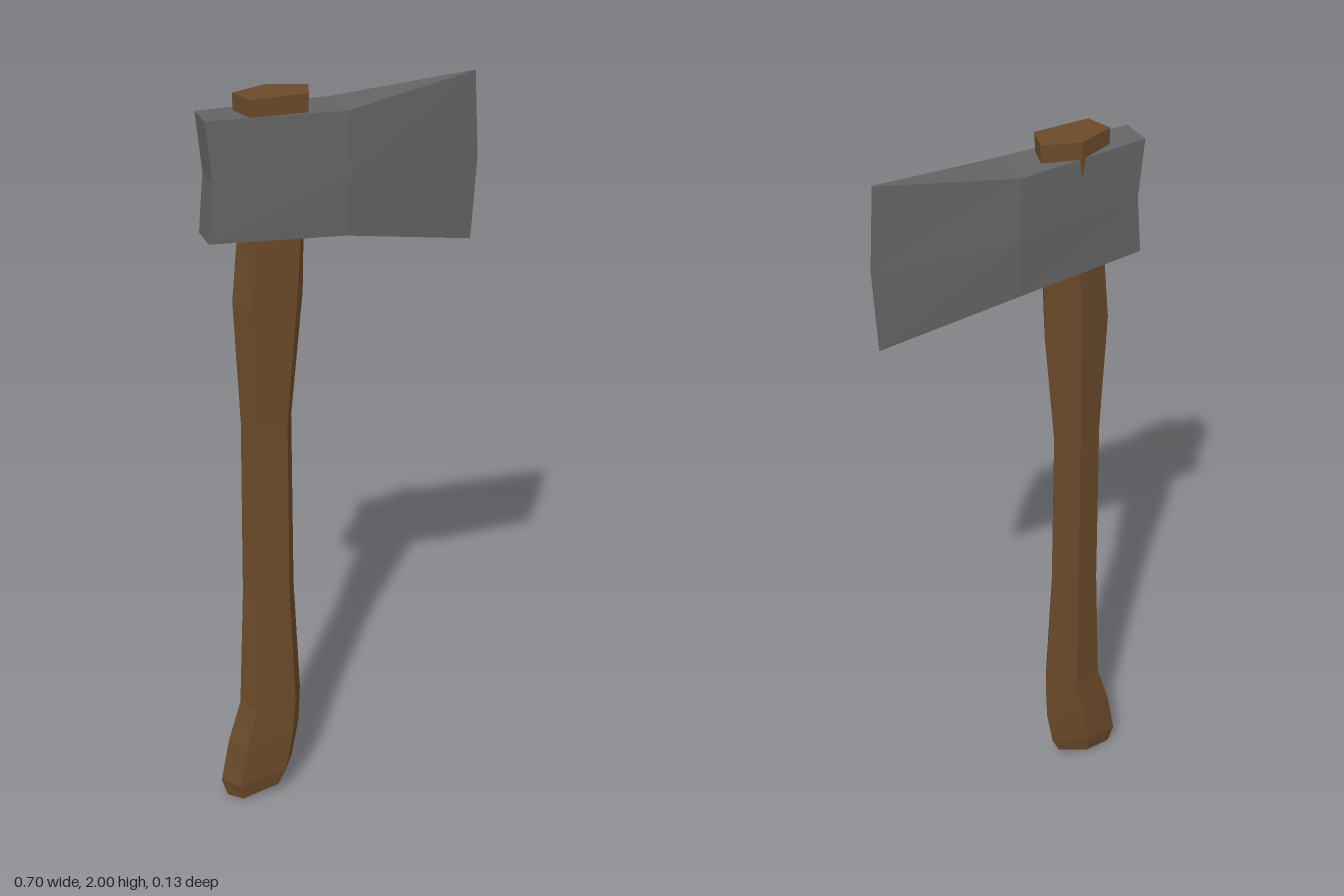
import * as THREE from 'three';

// Skins a list of equal-sized rings of [x, y, z] points and caps both ends.
function loft(rings) {
  const n = rings[0].length;
  const pos = [];
  const tri = (a, b, c) => pos.push(...a, ...b, ...c);
  for (let i = 0; i < rings.length - 1; i++) {
    const lo = rings[i], hi = rings[i + 1];
    for (let j = 0; j < n; j++) {
      const k = (j + 1) % n;
      tri(lo[j], hi[j], hi[k]);
      tri(lo[j], hi[k], lo[k]);
    }
  }
  const first = rings[0], last = rings[rings.length - 1];
  for (let k = 1; k < n - 1; k++) {
    tri(first[0], first[k], first[k + 1]);
    tri(last[0], last[k + 1], last[k]);
  }
  const geo = new THREE.BufferGeometry();
  geo.setAttribute('position', new THREE.Float32BufferAttribute(pos, 3));
  geo.computeVertexNormals();
  return geo;
}

// Five-sided handle section, tilted between its left and right edge points.
function handleRing([xl, yl, xr, yr, depth, flat]) {
  const at = (t, z) => [
    THREE.MathUtils.lerp(xl, xr, t),
    THREE.MathUtils.lerp(yl, yr, t),
    z * depth,
  ];
  return [
    at(0.5, -1),
    at(1, -0.38),
    at(0.5 + flat / 2, 0.85),
    at(0.5 - flat / 2, 0.85),
    at(0, -0.38),
  ];
}

// Six-point head section: top, middle and bottom on both cheeks.
function headRing([x, xMid, yBottom, yTop, zEdge, zMid]) {
  const yMid = (yBottom + yTop) / 2;
  return [
    [xMid, yMid, -zMid],
    [x, yBottom, -zEdge],
    [x, yBottom, zEdge],
    [xMid, yMid, zMid],
    [x, yTop, zEdge],
    [x, yTop, -zEdge],
  ];
}

export function createModel() {
  const wood = new THREE.MeshStandardMaterial({ color: 0x6b4a2a });
  wood.name = 'brown wood';
  wood.flatShading = true;
  const steel = new THREE.MeshStandardMaterial({ color: 0x646464 });
  steel.name = 'grey steel';
  steel.flatShading = true;

  // Handle: left x, left y, right x, right y, depth, width of the front flat
  const handle = new THREE.Mesh(loft([
    [-0.335, 0.0, -0.17, 0.038, 0.034, 0.62],
    [-0.35, 0.05, -0.145, 0.09, 0.046, 0.64],
    [-0.325, 0.18, -0.125, 0.2, 0.047, 0.64],
    [-0.29, 0.3, -0.12, 0.31, 0.043, 0.64],
    [-0.275, 0.65, -0.135, 0.65, 0.035, 0.64],
    [-0.268, 1.15, -0.135, 1.15, 0.034, 0.64],
    [-0.28, 1.48, -0.1, 1.48, 0.043, 0.64],
    [-0.262, 1.66, -0.095, 1.66, 0.047, 0.68],
    [-0.265, 2.0, -0.08, 2.0, 0.053, 0.78],
  ].map(handleRing)), wood);
  handle.name = 'handle';

  // Axe head, from the poll to the cutting edge
  const head = new THREE.Mesh(loft([
    [-0.35, -0.336, 1.66, 1.96, 0.04, 0.041],
    [-0.01, -0.005, 1.642, 1.952, 0.058, 0.064],
    [0.334, 0.346, 1.565, 1.995, 0.002, 0.003],
  ].map(headRing)), steel);
  head.name = 'axeHead';

  const model = new THREE.Group();
  model.name = 'axe';
  model.add(handle, head);
  return model;
}
